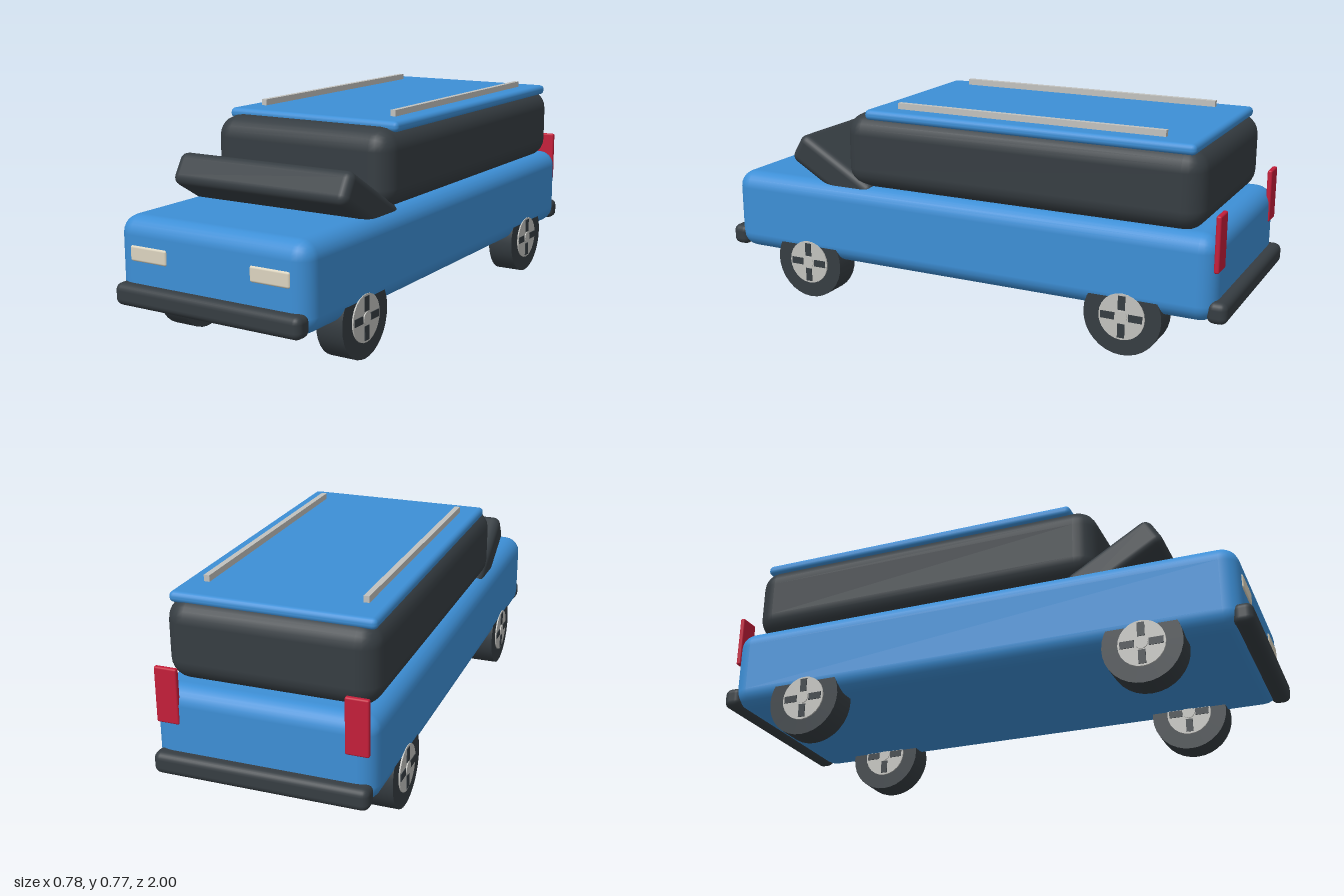
import * as THREE from 'three';
import { RoundedBoxGeometry } from 'three/addons/geometries/RoundedBoxGeometry.js';

const material = (name, color) => {
  const m = new THREE.MeshStandardMaterial({ color });
  m.name = name;
  return m;
};

export function createModel() {
  const blue = material('blue paint', 0x3d8fd6);
  const dark = material('dark trim', 0x363d42);
  const silver = material('silver', 0xc2c2be);
  const cream = material('cream lamp', 0xdcd4bf);
  const red = material('red lamp', 0xc41e3a);

  const model = new THREE.Group();
  model.name = 'van';

  const add = (parent, name, geometry, mat, x, y, z) => {
    const mesh = new THREE.Mesh(geometry, mat);
    mesh.name = name;
    mesh.position.set(x, y, z);
    parent.add(mesh);
    return mesh;
  };
  const rounded = (w, h, d, r, seg = 3) => new RoundedBoxGeometry(w, h, d, seg, r);

  // Body, cabin and roof
  add(model, 'body', rounded(0.764, 0.305, 1.925, 0.062), blue, 0, 0.3075, 0.002);
  add(model, 'cabin', rounded(0.73, 0.28, 1.37, 0.075), dark, 0, 0.59, -0.215);
  add(model, 'roof', rounded(0.704, 0.038, 1.25, 0.017, 2), blue, 0, 0.731, -0.243);

  // Sloping windscreen block
  const windscreen = add(model, 'windscreen', rounded(0.71, 0.12, 0.36, 0.03), dark, 0, 0.493, 0.536);
  windscreen.rotation.x = -0.532;

  // Bumpers
  add(model, 'frontBumper', rounded(0.744, 0.077, 0.07, 0.025), dark, 0, 0.198, 0.965);
  add(model, 'rearBumper', rounded(0.744, 0.077, 0.07, 0.025), dark, 0, 0.198, -0.965);

  // Lamps and roof rails, mirrored left and right
  for (const [side, s] of [['left', 1], ['right', -1]]) {
    add(model, side + 'Headlight', rounded(0.152, 0.054, 0.02, 0.008, 2), cream, s * 0.243, 0.339, 0.96);
    add(model, side + 'TailLight', rounded(0.08, 0.195, 0.018, 0.006, 2), red, s * 0.324, 0.432, -0.957);
    add(model, side + 'RoofRail', new THREE.BoxGeometry(0.02, 0.022, 1.02), silver, s * 0.275, 0.762, -0.235);
  }

  // Wheels: tyre, through hub, and a four-slot cross on both faces
  const tyreGeo = new THREE.CylinderGeometry(0.14, 0.14, 0.1, 32).rotateZ(Math.PI / 2);
  const hubGeo = new THREE.CylinderGeometry(0.083, 0.083, 0.11, 24).rotateZ(Math.PI / 2);
  const capGeo = new THREE.CylinderGeometry(0.022, 0.022, 0.118, 16).rotateZ(Math.PI / 2);
  const slotGeo = new THREE.BoxGeometry(0.006, 0.05, 0.026).translate(0, 0.05, 0);

  for (const [end, z] of [['front', 0.63], ['rear', -0.645]]) {
    for (const [side, s] of [['Left', 1], ['Right', -1]]) {
      const wheel = new THREE.Group();
      wheel.name = end + side + 'Wheel';
      wheel.position.set(s * 0.33, 0.14, z);
      model.add(wheel);
      add(wheel, 'tyre', tyreGeo, dark, 0, 0, 0);
      add(wheel, 'hub', hubGeo, silver, 0, 0, 0);
      add(wheel, 'hubCap', capGeo, silver, 0, 0, 0);
      for (const face of [-1, 1]) {
        for (let i = 0; i < 4; i++) {
          add(wheel, 'hubSlot', slotGeo, dark, face * 0.0545, 0, 0).rotation.x = i * Math.PI / 2;
        }
      }
    }
  }
  return model;
}
